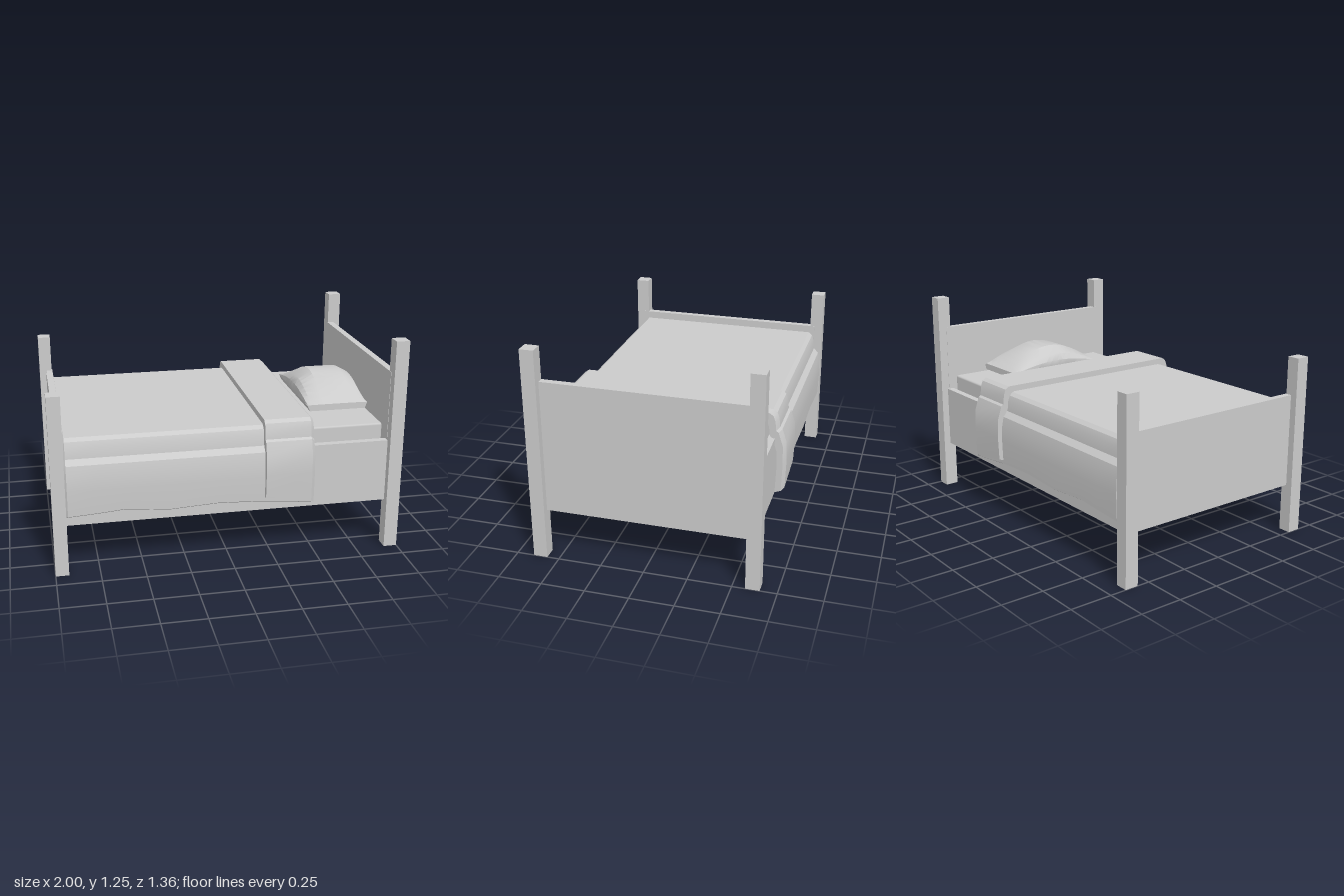
import * as THREE from 'three';
import { toCreasedNormals } from 'three/addons/utils/BufferGeometryUtils.js';
import { RoundedBoxGeometry } from 'three/addons/geometries/RoundedBoxGeometry.js';

const material = new THREE.MeshStandardMaterial({ color: 0xcccccc });

function add(group, name, geometry) {
  const mesh = new THREE.Mesh(geometry, material);
  mesh.name = name;
  group.add(mesh);
  return mesh;
}

// Box given by its limits on each axis
function box(group, name, [x0, x1], [y0, y1], [z0, z1]) {
  const mesh = add(group, name, new THREE.BoxGeometry(x1 - x0, y1 - y0, z1 - z0));
  mesh.position.set((x0 + x1) / 2, (y0 + y1) / 2, (z0 + z1) / 2);
}

// Closed skin over equal rings of [x, y, z] points, with both ends capped
function loft(rings, crease) {
  const n = rings[0].length, index = [];
  const quad = (a, b, c, d) => index.push(a, b, c, a, c, d);
  for (let k = 0; k < rings.length - 1; k++) {
    for (let i = 0; i < n; i++) {
      const j = (i + 1) % n;
      quad(k * n + i, (k + 1) * n + i, (k + 1) * n + j, k * n + j);
    }
  }
  const last = (rings.length - 1) * n;
  for (let i = 0; i < n / 2 - 1; i++) {
    quad(i, i + 1, n - 2 - i, n - 1 - i);
    quad(last + n - 1 - i, last + n - 2 - i, last + i + 1, last + i);
  }
  const geometry = new THREE.BufferGeometry();
  geometry.setAttribute('position', new THREE.Float32BufferAttribute(rings.flat(2), 3));
  geometry.setIndex(index);
  return toCreasedNormals(geometry, crease);
}

// Cloth draped over both sides: half profile of [z, y] from the hem up,
// stations of [x, hem height, inset]
function drape(profile, stations, thickness) {
  const side = (x, hem, inset) => {
    const half = profile.map(([z, y], i) => [x, i === 0 ? hem : y - inset, z - inset]);
    const mirrored = half.map(([px, y, z]) => [px, y, -z]).reverse();
    return [...half, ...mirrored];
  };
  const rings = stations.map(([x, hem, inset]) =>
    [...side(x, hem, inset), ...side(x, hem - 0.012, inset + thickness).reverse()]);
  return loft(rings, 0.4);
}

// Pillow arched along z: the crown sinks to a thin seam at both ends
function pillowGeometry() {
  const bottom = 0.754, seam = 0.79, steps = 16, half = 0.326;
  const section = [[0.545, bottom], [0.528, seam], [0.53, 0.835], [0.552, 0.872], [0.626, 0.917],
    [0.813, 0.917], [0.877, 0.882], [0.89, 0.84], [0.898, seam], [0.884, bottom]];
  const rings = [];
  for (let k = 0; k <= steps; k++) {
    const t = -1 + 2 * k / steps;
    const rise = Math.max(0.02, Math.cos(t * Math.PI / 2));
    rings.push(section.map(([x, y]) => [x, y > seam ? seam + (y - seam) * rise : y, t * half]));
  }
  return loft(rings, 0.5);
}

export function createModel() {
  const bed = new THREE.Group();
  bed.name = 'bed';

  // Wooden frame
  for (const s of [-1, 1]) {
    const span = (a, b) => s > 0 ? [a, b] : [-b, -a];
    box(bed, 'headPost', [0.922, 1], [0, 1.25], span(0.572, 0.652));
    box(bed, 'footPost', [-1, -0.925], [0, 1.05], span(0.572, 0.652));
    box(bed, 'sideRail', [-0.93, 0.93], [0.285, 0.655], span(0.57, 0.61));
  }
  box(bed, 'headboard', [0.92, 0.96], [0.285, 1.06], [-0.6, 0.6]);
  box(bed, 'footboard', [-0.96, -0.92], [0.285, 0.83], [-0.6, 0.6]);
  box(bed, 'bedBase', [-0.925, 0.925], [0.43, 0.47], [-0.572, 0.572]);

  // Mattress
  const mattress = add(bed, 'mattress', new RoundedBoxGeometry(1.822, 0.282, 1.11, 1, 0.012));
  mattress.position.set(-0.006, 0.601, 0);

  // Blanket with a wavy hem
  const hems = [[-0.928, 0.345, 0.012], [-0.915, 0.352, 0], [-0.75, 0.362, 0], [-0.6, 0.374, 0],
    [-0.46, 0.363, 0], [-0.34, 0.352, 0], [-0.2, 0.36, 0], [-0.08, 0.366, 0],
    [0.08, 0.36, 0], [0.22, 0.352, 0], [0.35, 0.338, 0], [0.472, 0.326, 0]];
  add(bed, 'blanket', drape([[0.645, 0.35], [0.65, 0.5], [0.646, 0.59], [0.635, 0.645],
    [0.606, 0.675], [0.6, 0.735], [0.588, 0.768], [0.566, 0.786]], hems, 0.02));

  // Turned-back top of the blanket
  add(bed, 'blanketFold', drape([[0.672, 0.35], [0.678, 0.52], [0.674, 0.63], [0.648, 0.71],
    [0.634, 0.72], [0.628, 0.775], [0.616, 0.808], [0.593, 0.824]],
  [[0.193, 0.385, 0], [0.458, 0.345, 0], [0.478, 0.328, 0.018]], 0.035));

  // Pillow
  add(bed, 'pillow', pillowGeometry()).position.z = -0.014;

  bed.position.z = -0.002;
  const model = new THREE.Group();
  model.name = 'bedModel';
  model.add(bed);
  return model;
}
